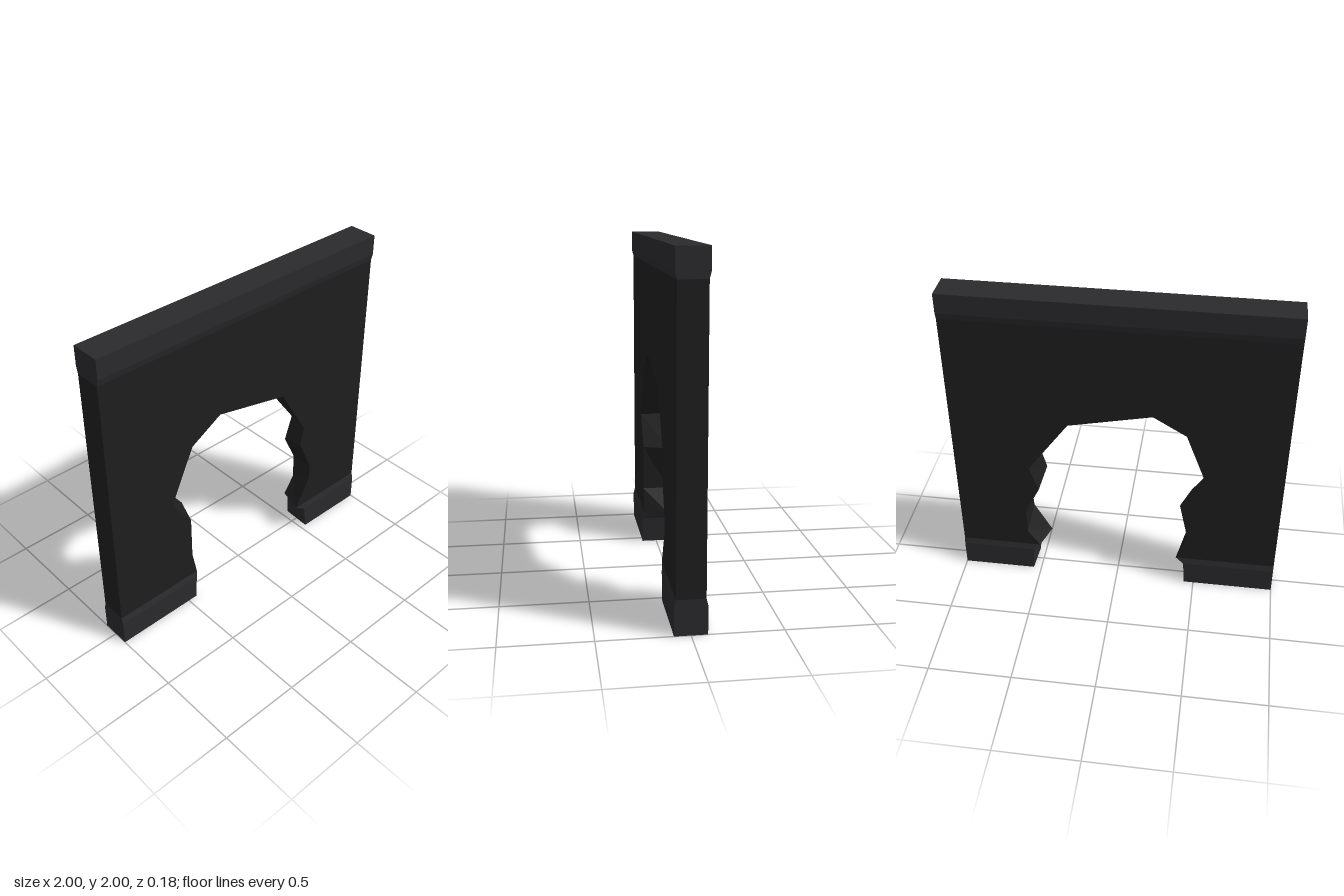
import * as THREE from 'three';

const wallMat = new THREE.MeshStandardMaterial({ color: 0x1e1e1e, flatShading: true });
const trimMat = new THREE.MeshStandardMaterial({ color: 0x2a292c, flatShading: true });

// Joins a series of matching closed outlines (counter-clockwise seen from the last one)
// and caps both ends with the given triangles.
function loft(rings, capFaces) {
  const n = rings[0].length, last = (rings.length - 1) * n, index = [];
  for (let r = 0; r < rings.length - 1; r++) {
    for (let i = 0; i < n; i++) {
      const a = r * n + i, b = r * n + (i + 1) % n;
      index.push(a, b, b + n, a, b + n, a + n);
    }
  }
  for (const [a, b, c] of capFaces) index.push(c, b, a, last + a, last + b, last + c);
  const g = new THREE.BufferGeometry();
  g.setAttribute('position', new THREE.Float32BufferAttribute(rings.flat(2), 3));
  g.setIndex(index);
  const flat = g.toNonIndexed();
  flat.computeVertexNormals();
  return flat;
}

function addMesh(group, name, geometry, material) {
  const mesh = new THREE.Mesh(geometry, material);
  mesh.name = name;
  group.add(mesh);
}

// Horizontal moulding: each level is [y, halfDepth, x0Front, x1Front, x0Back, x1Back]
function moulding(levels) {
  const rings = levels.map(([y, d, x0, x1, x0b = x0, x1b = x1]) =>
    [[x0, y, d], [x1, y, d], [x1b, y, -d], [x0b, y, -d]]);
  return loft(rings, [[0, 1, 2], [0, 2, 3]]);
}

export function createModel() {
  const model = new THREE.Group();
  model.name = 'brokenWall';

  // Rough opening, from the lower right round to the lower left: [x, y]
  const frontHole = [
    [0.45, 0.2], [0.56, 0.4], [0.565, 0.49], [0.46, 0.73], [0.49, 0.84], [0.29, 1.18],
    [-0.21, 1.29], [-0.42, 1.17], [-0.58, 0.83], [-0.45, 0.64], [-0.45, 0.36], [-0.42, 0.2],
  ];
  const backHole = [
    [0.5, 0.2], [0.575, 0.31], [0.575, 0.485], [0.485, 0.67], [0.54, 0.83], [0.29, 1.18],
    [-0.21, 1.29], [-0.41, 1.17], [-0.535, 0.84], [-0.39, 0.64], [-0.45, 0.36], [-0.38, 0.2],
  ];

  // Wall panel with the opening cut through at uneven angles
  const outline = (hole) => [[-1, 0.2], ...[...hole].reverse(), [1, 0.2], [1, 1.84], [-1, 1.84]];
  const front = outline(frontHole), back = outline(backHole);
  const faces = THREE.ShapeUtils.triangulateShape(front.map(([x, y]) => new THREE.Vector2(x, y)), []);
  const ring = (points, z) => points.map(([x, y]) => [x, y, z]);
  addMesh(model, 'wallPanel', loft([ring(back, -0.08), ring(front, 0.08)], faces), wallMat);

  // Top rail, bevelled along its lower edge
  addMesh(model, 'topRail', moulding([
    [1.84, 0.08, -1, 1], [1.88, 0.09, -1, 1], [2, 0.09, -1, 1],
  ]), trimMat);

  // Broken skirting pieces, bevelled along the upper edge
  addMesh(model, 'rightSkirting', moulding([
    [0, 0.09, -1, -0.44], [0.16, 0.09, -1, -0.43], [0.2, 0.08, -1, -0.42, -1, -0.38],
  ]), trimMat);
  addMesh(model, 'leftSkirting', moulding([
    [0, 0.09, 0.54, 1, 0.55, 1], [0.16, 0.09, 0.52, 1, 0.54, 1], [0.2, 0.08, 0.45, 1, 0.5, 1],
  ]), trimMat);

  return model;
}
